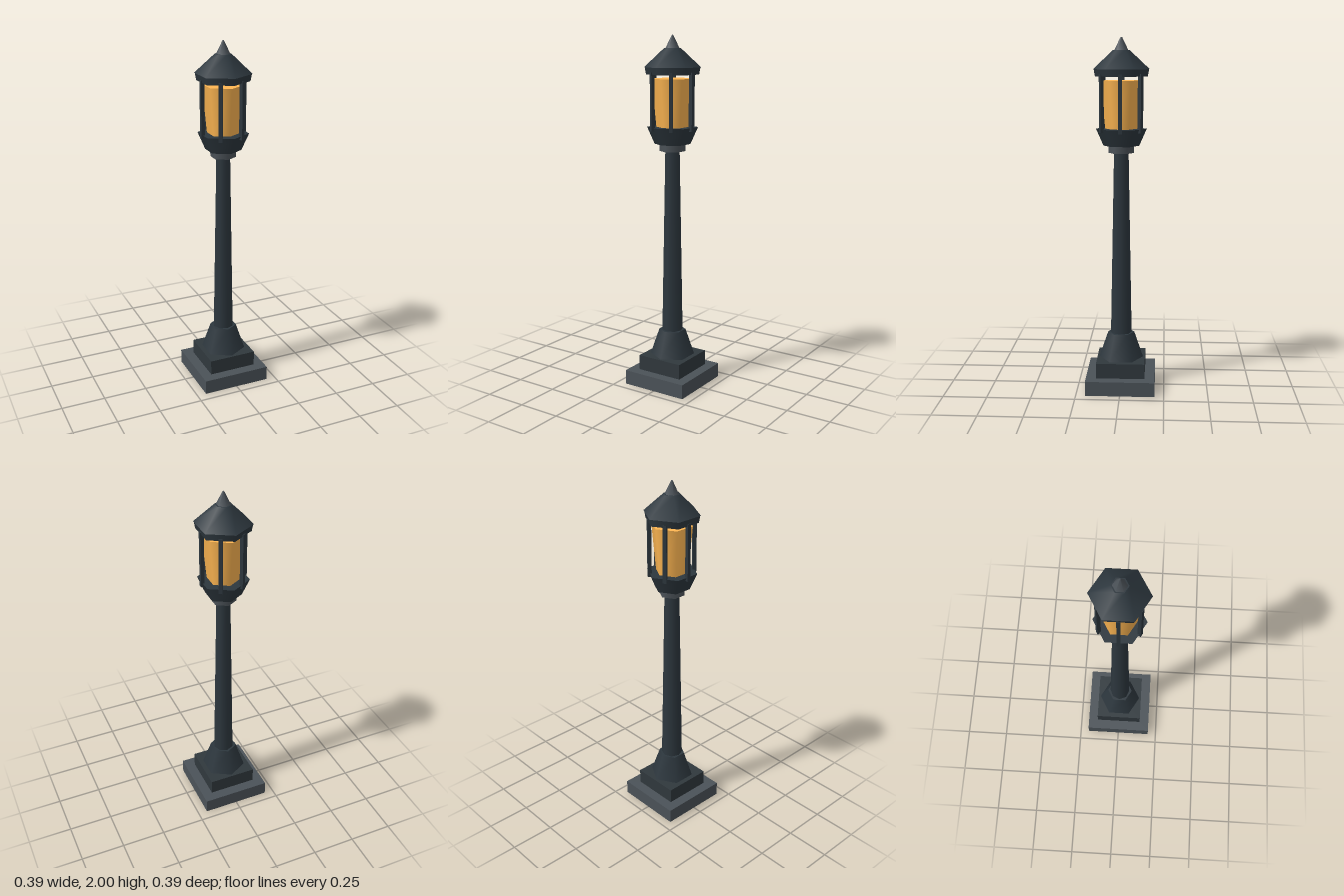
import * as THREE from 'three';

const paint = (color) => new THREE.MeshStandardMaterial({ color });

export function createModel() {
  const model = new THREE.Group();
  const iron = paint(0x2d373e);
  const darkStone = paint(0x30383d);
  const stone = paint(0x4b5258);
  const amber = paint(0xffb752);

  const add = (name, geometry, material, x, y, z) => {
    const mesh = new THREE.Mesh(geometry, material);
    mesh.name = name;
    mesh.position.set(x, y, z);
    model.add(mesh);
    return mesh;
  };
  // Tapered prism between two heights, corners on the z axis
  const prism = (name, y0, y1, r0, r1, material, sides = 6) =>
    add(name, new THREE.CylinderGeometry(r1, r0, y1 - y0, sides), material, 0, (y0 + y1) / 2, 0);
  const slab = (name, y0, y1, width, material) =>
    add(name, new THREE.BoxGeometry(width, y1 - y0, width), material, 0, (y0 + y1) / 2, 0);

  // Stepped base
  slab('basePlinth', 0, 0.083, 0.394, stone);
  slab('baseStep', 0.083, 0.17, 0.277, darkStone);
  prism('pedestal', 0.17, 0.32, 0.127, 0.076, iron);

  // Pole and collar
  prism('pole', 0.32, 1.365, 0.06, 0.041, iron, 8);
  prism('collar', 1.365, 1.405, 0.072, 0.072, stone);

  // Lantern
  prism('lanternBowl', 1.405, 1.5, 0.1, 0.142, iron);
  prism('lanternGlass', 1.5, 1.765, 0.09, 0.115, amber);
  for (let i = 0; i < 6; i++) {
    const a = (i * Math.PI) / 3;
    const post = add('lanternPost', new THREE.BoxGeometry(0.02, 0.32, 0.02), iron,
      0.123 * Math.cos(a), 1.64, 0.123 * Math.sin(a));
    post.rotation.y = -a;
  }

  // Roof and finial
  prism('eave', 1.787, 1.826, 0.146, 0.153, iron);
  prism('roof', 1.826, 1.93, 0.157, 0.045, iron);
  prism('finial', 1.93, 2, 0.038, 0.004, stone);

  return model;
}
